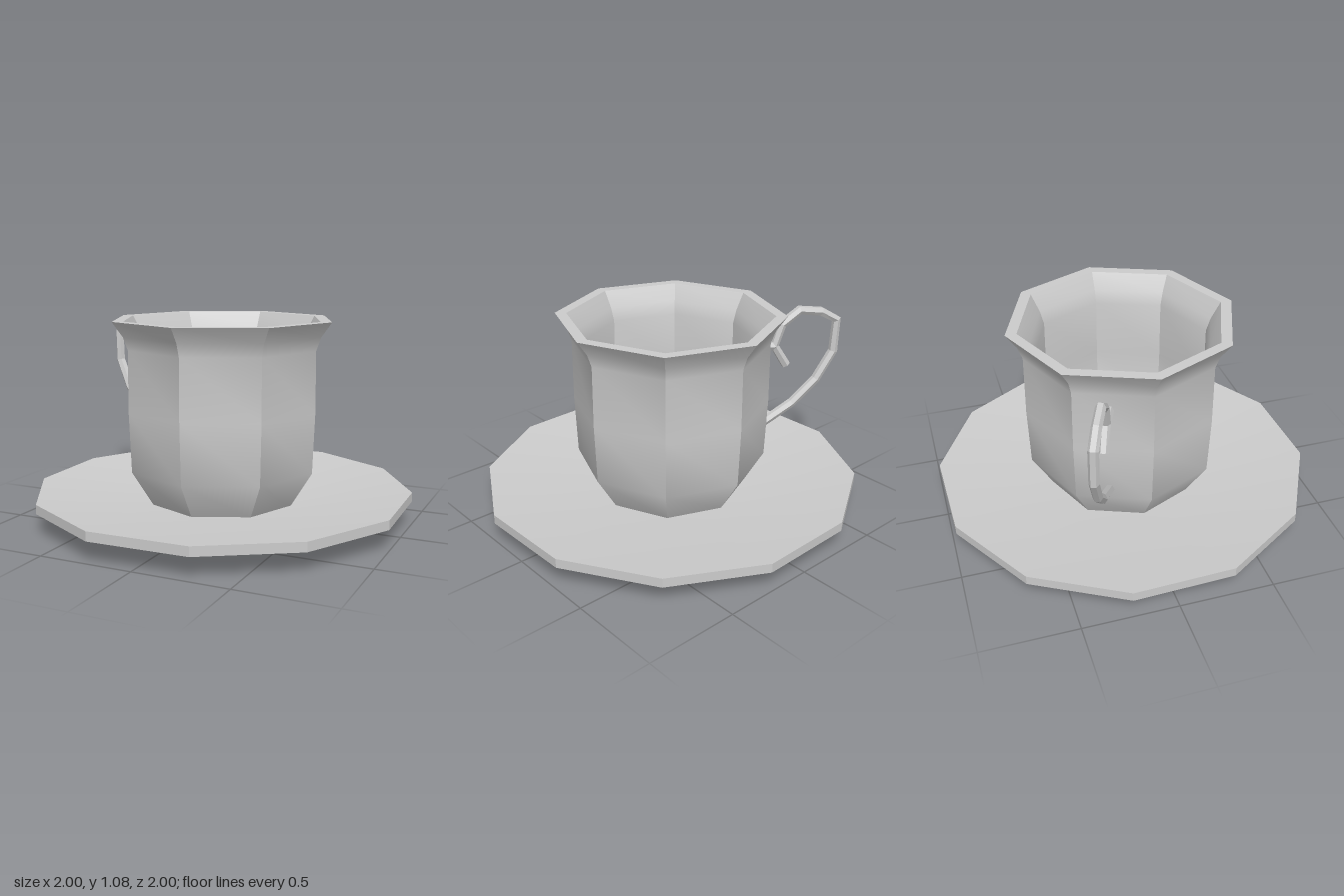
import * as THREE from 'three';
import { toCreasedNormals } from 'three/addons/utils/BufferGeometryUtils.js';

const DEG = Math.PI / 180;
const smooth = new THREE.MeshStandardMaterial({ color: 0xcccccc });
const faceted = new THREE.MeshStandardMaterial({ color: 0xcccccc, flatShading: true });

function part(name, geometry, material) {
  const mesh = new THREE.Mesh(geometry, material);
  mesh.name = name;
  return mesh;
}

function lathe(profile, sides, turn, crease) {
  const points = profile.map(([r, y]) => new THREE.Vector2(r, y));
  return toCreasedNormals(new THREE.LatheGeometry(points, sides, turn * DEG), crease * DEG);
}

// Closes the last ring of a tube with a fan of triangles
function endCap(tube, sides) {
  const pos = tube.attributes.position;
  const first = pos.count - sides - 1;
  const ring = Array.from({ length: sides }, (_, i) =>
    new THREE.Vector3().fromBufferAttribute(pos, first + i));
  const index = [];
  for (let i = 1; i < sides - 1; i++) index.push(0, i + 1, i);
  const cap = new THREE.BufferGeometry().setFromPoints(ring);
  cap.setIndex(index);
  cap.computeVertexNormals();
  return cap;
}

function createHandle() {
  const handle = new THREE.Group();
  handle.name = 'handle';
  const sides = 6, radius = 0.026;

  // Centre line: from the lower joint, out and over, into the scroll
  const path = [[0.47, 0.335], [0.72, 0.48], [0.86, 0.61], [0.955, 0.77], [0.962, 0.955],
    [0.865, 1.01], [0.735, 1.03], [0.635, 0.96], [0.595, 0.84], [0.67, 0.72]];
  const curve = new THREE.CatmullRomCurve3(path.map(([x, y]) => new THREE.Vector3(x, y, 0)));
  // One straight segment between neighbouring points
  curve.getPointAt = (t, target) => curve.getPoint(t, target);
  curve.getTangentAt = (t, target) => curve.getTangent(t, target);
  const tube = new THREE.TubeGeometry(curve, path.length - 1, radius, sides);
  handle.add(part('handleLoop', tube, faceted), part('scrollEnd', endCap(tube, sides), faceted));

  // Short peg joining the scroll to the cup
  const peg = part('handlePeg', new THREE.CylinderGeometry(radius, radius, 0.14, sides), faceted);
  peg.rotation.z = Math.PI / 2;
  peg.position.set(0.53, 0.84, 0);
  handle.add(peg);

  handle.rotation.y = 156 * DEG;
  return handle;
}

export function createModel() {
  const model = new THREE.Group();
  model.name = 'cupAndSaucer';

  // Twelve-sided dished saucer on a low foot
  const saucer = lathe([[0, 0], [0.427, 0], [0.427, 0.035], [1.028, 0.11], [1.028, 0.16],
    [0.4, 0.09], [0, 0.09]], 12, 16.5, 20);
  model.add(part('saucer', saucer, smooth));

  // Eight-sided cup: outer wall up to the flared lip, then the inner wall down to the floor
  const cup = lathe([[0, 0.092], [0.4, 0.092], [0.515, 0.28], [0.527, 0.6], [0.525, 0.93],
    [0.55, 1.0], [0.607, 1.08], [0.547, 1.08], [0.495, 0.99], [0.472, 0.92], [0.475, 0.6],
    [0.465, 0.28], [0.41, 0.17], [0, 0.17]], 8, 1, 36);
  model.add(part('cup', cup, smooth));

  model.add(createHandle());
  return model;
}
